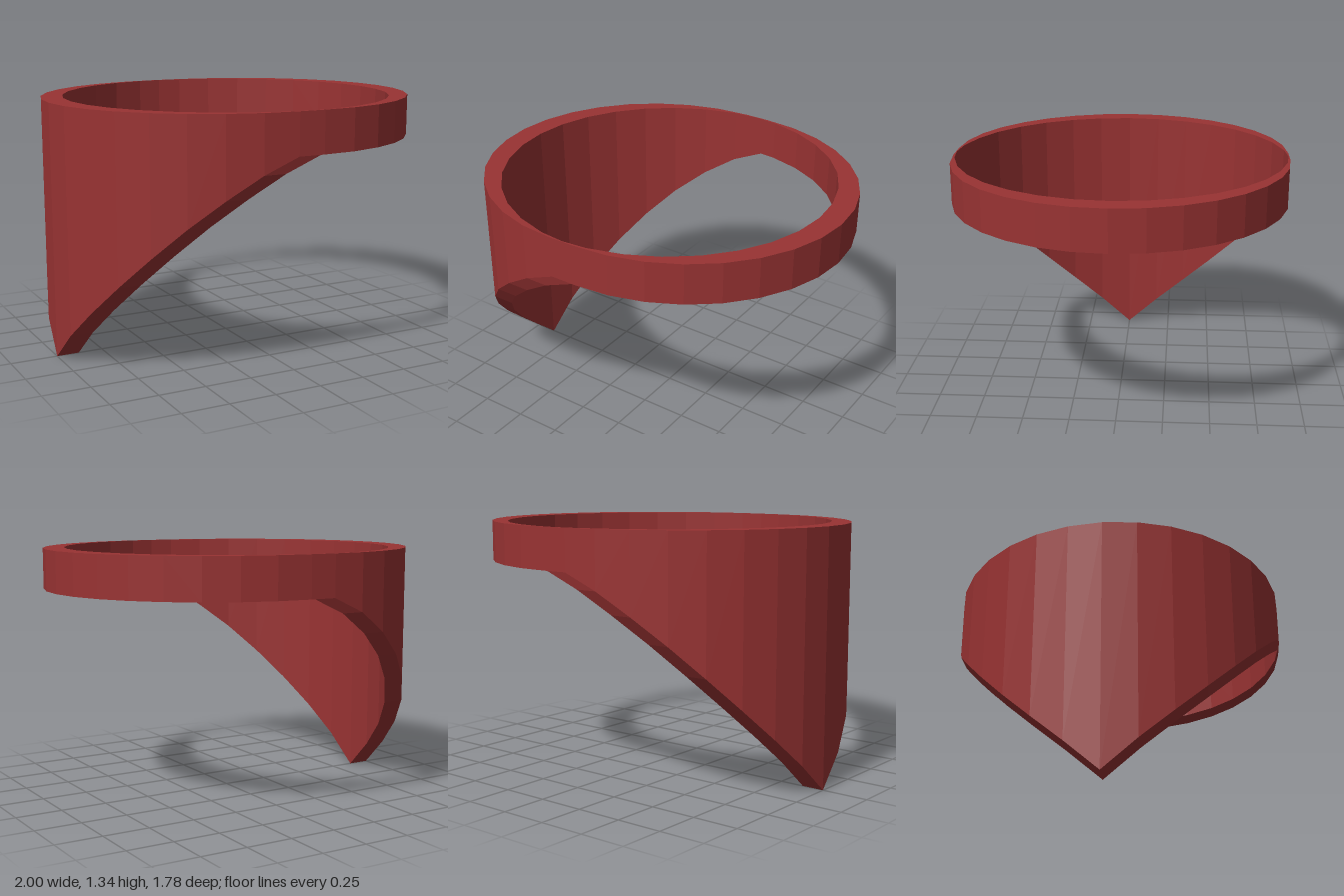
import * as THREE from 'three';

const TOP = 1.335, BAND = 1.12, STEPS = 16;
const RX = 0.93, RZ = 0.89, OUT = 0.07, IN = -0.05;

// height of the lower edge, from the tip of the shield to the band
const LIP = [0, 0.16, 0.317, 0.477, 0.637, 0.79, 0.925, 1.04, BAND];

// Half a ring: a rectangular section swept along half an ellipse.
// side is +1 or -1; bottomAt gives the lower edge at each step from the middle.
function halfRing(side, bottomAt) {
  const sections = [];
  for (let i = 0; i <= STEPS; i++) {
    const t = (i / STEPS - 0.5) * Math.PI;
    const x = RX * Math.cos(t), z = RZ * Math.sin(t);
    const low = bottomAt(Math.abs(i - STEPS / 2));
    sections.push([
      [side * (x + OUT), low, z],
      [side * (x + OUT), TOP, z],
      [side * (x + IN), TOP, z],
      [side * (x + IN), low, z],
    ]);
  }
  const pos = [];
  const quad = (a, b, c, d) => {
    const q = side > 0 ? [a, b, c, a, c, d] : [a, c, b, a, d, c];
    q.forEach((p) => pos.push(...p));
  };
  for (let i = 0; i < STEPS; i++) {
    const s = sections[i], n = sections[i + 1];
    for (let k = 0; k < 4; k++) {
      const m = (k + 1) % 4;
      quad(s[k], s[m], n[m], n[k]);
    }
  }
  // end caps
  const [a, b, c, d] = sections[0];
  quad(d, c, b, a);
  quad(...sections[STEPS]);

  const geo = new THREE.BufferGeometry();
  geo.setAttribute('position', new THREE.Float32BufferAttribute(pos, 3));
  geo.computeVertexNormals(); // unshared corners keep every facet flat
  return geo;
}

export function createModel() {
  const group = new THREE.Group();
  group.name = 'thumbRing';
  const red = new THREE.MeshStandardMaterial({ color: 0x993333 });
  red.name = 'dark red';

  // plain band
  const band = new THREE.Mesh(halfRing(1, () => BAND), red);
  band.name = 'band';

  // half that sweeps down to a pointed shield
  const shield = new THREE.Mesh(halfRing(-1, (k) => LIP[k]), red);
  shield.name = 'shield';

  group.add(band, shield);
  return group;
}
